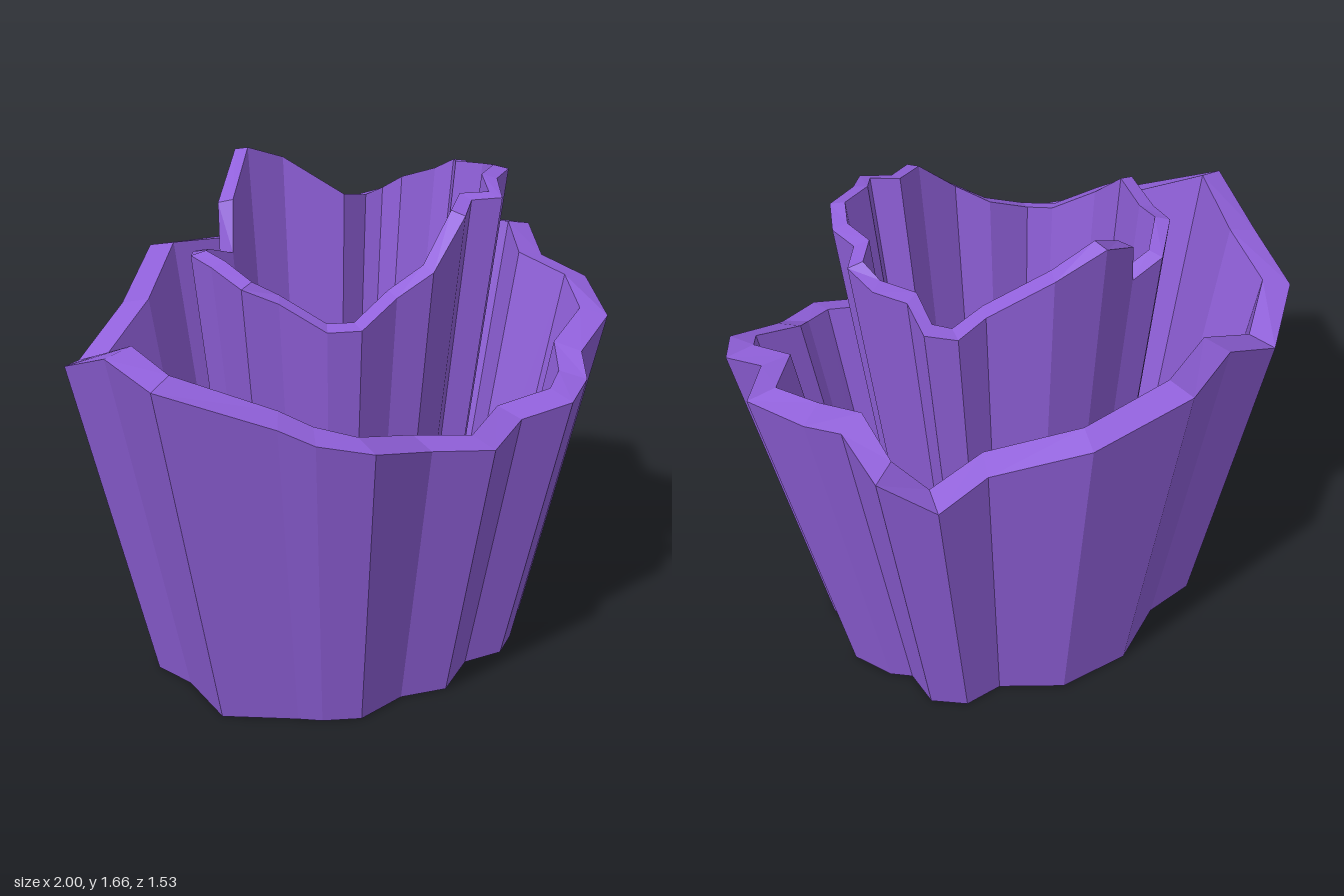
import * as THREE from 'three';

// Rim points [x, z, height], running left, back, right, front
const outerRim = [
  [-1, 0.28, 1.25], [-0.9, -0.07, 1.23], [-0.89, -0.29, 1.14], [-0.7, -0.47, 1.06],
  [-0.46, -0.54, 1.18], [-0.16, -0.76, 1.26], [0.21, -0.77, 1.21], [0.47, -0.59, 1.1],
  [0.65, -0.6, 1.04], [0.81, -0.51, 1.16], [0.82, -0.32, 1.23], [0.91, -0.25, 1.25],
  [1, -0.05, 1.25], [0.86, 0.14, 1.21], [0.91, 0.3, 1.16], [0.81, 0.49, 1.09],
  [0.61, 0.55, 1.03], [0.55, 0.63, 0.97], [0.4, 0.7, 0.95], [0.21, 0.65, 0.93],
  [-0.03, 0.76, 0.93], [-0.23, 0.68, 0.96], [-0.5, 0.71, 1.04], [-0.65, 0.61, 1.08],
  [-0.73, 0.53, 1.13],
];
const innerRim = [
  [-0.55, 0.17, 1.43], [-0.5, -0.03, 1.44], [-0.49, -0.14, 1.45], [-0.38, -0.26, 1.41],
  [-0.26, -0.27, 1.37], [-0.23, -0.31, 1.53], [-0.05, -0.43, 1.65], [0.13, -0.42, 1.59],
  [0.3, -0.3, 1.45], [0.41, -0.32, 1.42], [0.5, -0.27, 1.44], [0.5, -0.17, 1.5],
  [0.58, -0.1, 1.53], [0.61, 0, 1.57], [0.55, 0.07, 1.59], [0.57, 0.17, 1.6],
  [0.52, 0.28, 1.62], [0.41, 0.33, 1.62], [0.34, 0.42, 1.59], [0.25, 0.37, 1.59],
  [0.16, 0.43, 1.57], [-0.01, 0.46, 1.43], [-0.12, 0.41, 1.36], [-0.27, 0.41, 1.29],
  [-0.36, 0.35, 1.29], [-0.46, 0.24, 1.38],
];

// A flared, pleated tube with a wall of even thickness, open at both ends
function pleatedTube(rim, thickness, flare) {
  const n = rim.length;
  const sections = rim.map(([x, z, y], i) => {
    const a = rim[(i + n - 1) % n], b = rim[(i + 1) % n];
    const tx = b[0] - a[0], tz = b[1] - a[1], len = Math.hypot(tx, tz);
    const ix = x - (tz / len) * thickness, iz = z + (tx / len) * thickness;
    const s = 1 / (1 + flare * y);
    return [
      [x * s, 0, z * s], [x, y, z],
      [ix, y + thickness * 0.25, iz], [ix * s, 0, iz * s],
    ];
  });
  const pos = [];
  for (let i = 0; i < n; i++) {
    const cur = sections[i], next = sections[(i + 1) % n];
    for (let j = 0; j < 4; j++) {
      const k = (j + 1) % 4;
      pos.push(...next[j], ...cur[j], ...cur[k], ...next[j], ...cur[k], ...next[k]);
    }
  }
  const geo = new THREE.BufferGeometry();
  geo.setAttribute('position', new THREE.Float32BufferAttribute(pos, 3));
  geo.computeVertexNormals();
  return geo;
}

export function createModel() {
  const group = new THREE.Group();
  const purple = new THREE.MeshStandardMaterial({ color: 0x9060da });
  purple.name = 'purple';
  purple.flatShading = true;

  const add = (name, geo) => {
    const mesh = new THREE.Mesh(geo, purple);
    mesh.name = name;
    group.add(mesh);
  };
  add('outerTube', pleatedTube(outerRim, 0.095, 0.38));
  add('innerTube', pleatedTube(innerRim, 0.05, 0.35));
  return group;
}
